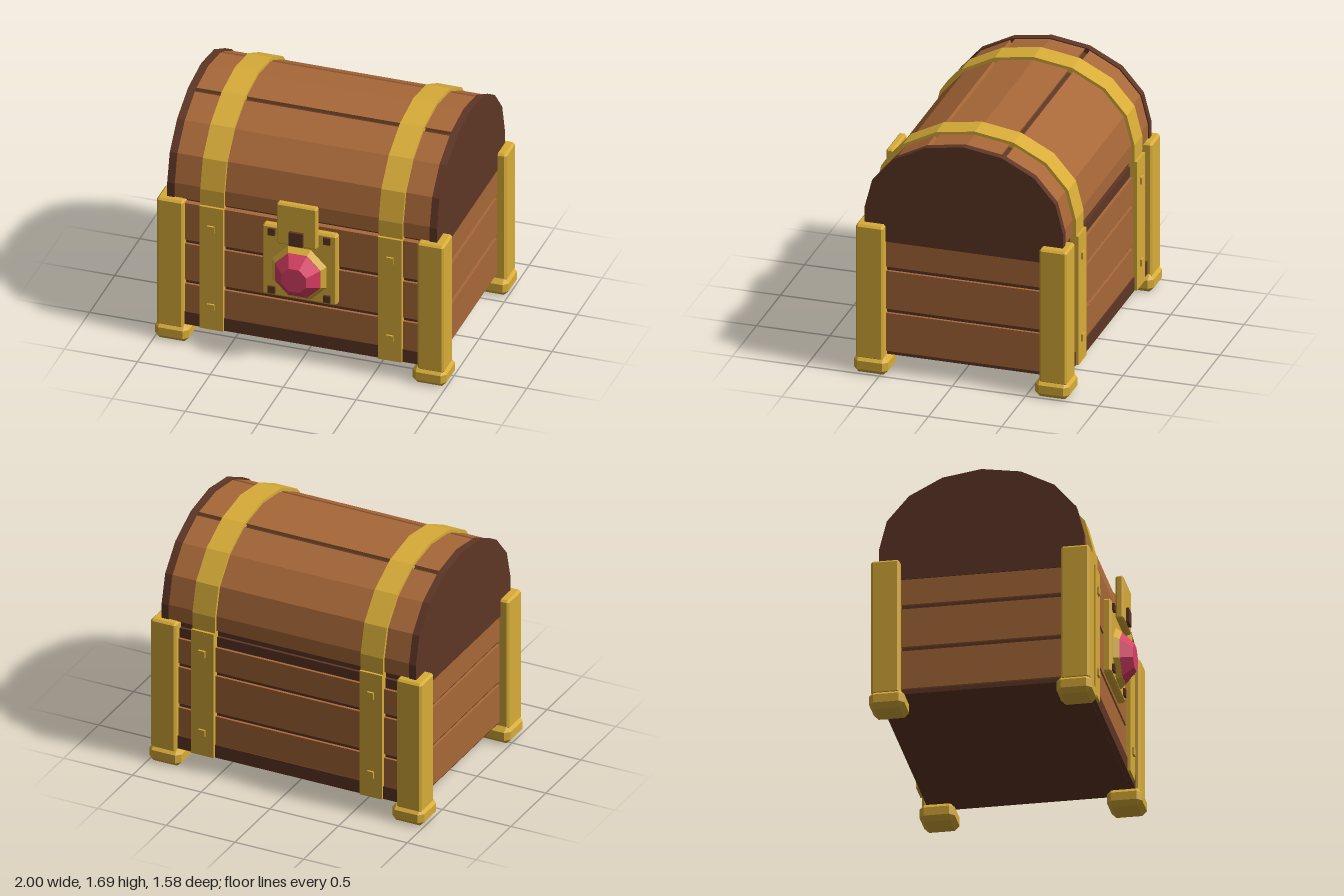
import * as THREE from 'three';
import { ConvexGeometry } from 'three/addons/geometries/ConvexGeometry.js';

const ZC = -0.053; // middle of the chest body in z

export function createModel() {
  const chest = new THREE.Group();
  chest.name = 'treasureChest';

  const material = (name, color) => {
    const m = new THREE.MeshStandardMaterial({ color, flatShading: true });
    m.name = name;
    return m;
  };
  const wood = material('plank wood', 0xa86838);
  const dark = material('dark wood', 0x5e3625);
  const gold = material('gold', 0xd8ac38);
  const ruby = material('ruby', 0xdb3f64);

  const add = (name, geometry, mat) => {
    const mesh = new THREE.Mesh(geometry, mat);
    mesh.name = name;
    chest.add(mesh);
    return mesh;
  };

  // Box given by its extents on each axis
  const box = (name, mat, [x0, x1], [y0, y1], [z0, z1]) => {
    const g = new THREE.BoxGeometry(x1 - x0, y1 - y0, z1 - z0);
    g.translate((x0 + x1) / 2, (y0 + y1) / 2, (z0 + z1) / 2);
    return add(name, g, mat);
  };

  // Box with all edges cut by c
  const chamferBox = (name, mat, [x0, x1], [y0, y1], [z0, z1], c) => {
    const h = [(x1 - x0) / 2, (y1 - y0) / 2, (z1 - z0) / 2];
    const points = [];
    for (const sx of [-1, 1]) for (const sy of [-1, 1]) for (const sz of [-1, 1]) {
      for (let full = 0; full < 3; full++) {
        const [x, y, z] = h.map((v, i) => (i === full ? v : v - c));
        points.push(new THREE.Vector3(sx * x, sy * y, sz * z));
      }
    }
    const g = new ConvexGeometry(points);
    g.translate((x0 + x1) / 2, (y0 + y1) / 2, (z0 + z1) / 2);
    return add(name, g, mat);
  };

  // Lid outline: eight-sided half ellipse, angle in degrees from the top, + is front
  const SPRING = 1.157;
  const lidPoint = (deg, inset) => {
    const a = THREE.MathUtils.degToRad(deg);
    return new THREE.Vector2(ZC + (0.69 - inset) * Math.sin(a), SPRING + (0.533 - inset) * Math.cos(a));
  };
  const lidLine = (angles, inset, frontFoot, backFoot) => {
    const line = angles.map((d) => lidPoint(d, inset));
    if (frontFoot) line.unshift(new THREE.Vector2(ZC + 0.69 - inset, frontFoot));
    if (backFoot) line.push(new THREE.Vector2(ZC - 0.69 + inset, backFoot));
    return line;
  };
  // Extrude a (z, y) outline along x
  const alongX = (name, mat, outline, x0, x1) => {
    const g = new THREE.ExtrudeGeometry(new THREE.Shape(outline), { depth: x1 - x0, bevelEnabled: false });
    g.rotateY(-Math.PI / 2);
    g.translate(x1, 0, 0);
    return add(name, g, mat);
  };
  const shell = (name, mat, angles, outer, inner, x0, x1, frontFoot, backFoot) =>
    alongX(name, mat, [
      ...lidLine(angles, outer, frontFoot, backFoot),
      ...lidLine(angles, inner, frontFoot, backFoot).reverse(),
    ], x0, x1);

  const ALL = [90, 67.5, 45, 22.5, 0, -22.5, -45, -67.5, -90];

  // Body core and bottom trim
  box('bodyCore', dark, [-0.9, 0.9], [0.12, 1.0], [ZC - 0.66, ZC + 0.66]);
  box('bottomTrim', dark, [-0.88, 0.88], [0.122, 0.215], [ZC - 0.69, ZC + 0.69]);

  // Body planks on all four sides
  [[0.215, 0.42], [0.45, 0.72], [0.75, 1.025]].forEach(([y0, y1], i) => {
    box('frontPlank', wood, [-0.88, 0.88], [y0, y1], [ZC + 0.64, ZC + 0.68]);
    box('backPlank', wood, [-0.88, 0.88], [y0, i === 2 ? 0.93 : y1], [ZC - 0.68, ZC - 0.64]);
    for (const s of [-1, 1]) {
      const xs = s > 0 ? [0.88, 0.92] : [-0.92, -0.88];
      box('sidePlank', wood, xs, [i ? y0 : 0.15, i === 2 ? 0.93 : y1], [ZC - 0.66, ZC + 0.66]);
    }
  });

  // Lid core, planks and end caps
  alongX('lidCore', dark, lidLine(ALL, 0.05, 0.93, 0.93), -0.88, 0.88);
  shell('lidFrontPlank', wood, [90, 67.5, 45, 24], 0.022, 0.06, -0.876, 0.876, 1.05, 0);
  shell('lidTopPlank', wood, [21, 0, -21], 0.022, 0.06, -0.876, 0.876);
  shell('lidBackPlank', wood, [-24, -45, -67.5, -90], 0.022, 0.06, -0.876, 0.876, 0, 1.05);
  for (const s of [-1, 1]) {
    alongX('lidEndCap', dark, lidLine(ALL, 0.013, 0.93, 0.93), s > 0 ? 0.875 : -0.925, s > 0 ? 0.925 : -0.875);
  }

  for (const s of [-1, 1]) {
    // Gold straps with square studs
    const span = (a, b) => (s > 0 ? [a, b] : [-b, -a]);
    const [x0, x1] = span(0.53, 0.694);
    shell('lidStrap', gold, ALL, 0, 0.04, x0, x1, 1.03, 1.03);
    for (const f of [-1, 1]) {
      const depth = (a, b) => (f > 0 ? [ZC + a, ZC + b] : [ZC - b, ZC - a]);
      box('bodyStrap', gold, [x0, x1], [0.125, 1.04], depth(0.65, 0.708));
      for (const y of [0.295, 0.88]) {
        box('strapStud', gold, span(0.59, 0.638), [y - 0.024, y + 0.024], depth(0.7, 0.722));
      }
      // Corner posts and feet
      chamferBox('cornerPost', gold, span(0.802, 0.985), [0.1, 1.053], depth(0.532, 0.721), 0.014);
      chamferBox('foot', gold, span(0.767, 1.0), [0, 0.122], depth(0.502, 0.735), 0.032);
    }
  }

  // Lock plate with dark corner studs
  chamferBox('lockPlate', gold, [-0.255, 0.255], [0.475, 1.0], [0.61, 0.675], 0.013);
  for (const x of [-0.19, 0.19]) for (const y of [0.522, 0.956]) {
    box('lockStud', dark, [x - 0.024, x + 0.024], [y - 0.025, y + 0.025], [0.66, 0.69]);
  }

  // Hasp with dark slot
  chamferBox('hasp', gold, [-0.138, 0.138], [0.905, 1.212], [0.682, 0.734], 0.011);
  box('haspSlot', dark, [-0.047, 0.047], [0.918, 1.018], [0.72, 0.754]);

  // Octagonal jewel setting and cut jewel, flats up and down
  const octagon = (name, mat, frontFlat, backFlat, z0, z1) => {
    const k = 1 / Math.cos(Math.PI / 8);
    const g = new THREE.CylinderGeometry(frontFlat * k, backFlat * k, z1 - z0, 8);
    g.rotateY(Math.PI / 8);
    g.rotateX(Math.PI / 2);
    g.translate(0, 0.68, (z0 + z1) / 2);
    return add(name, g, mat);
  };
  octagon('jewelSetting', gold, 0.158, 0.19, 0.67, 0.713);
  octagon('jewel', ruby, 0.085, 0.158, 0.711, 0.788);

  return chest;
}
